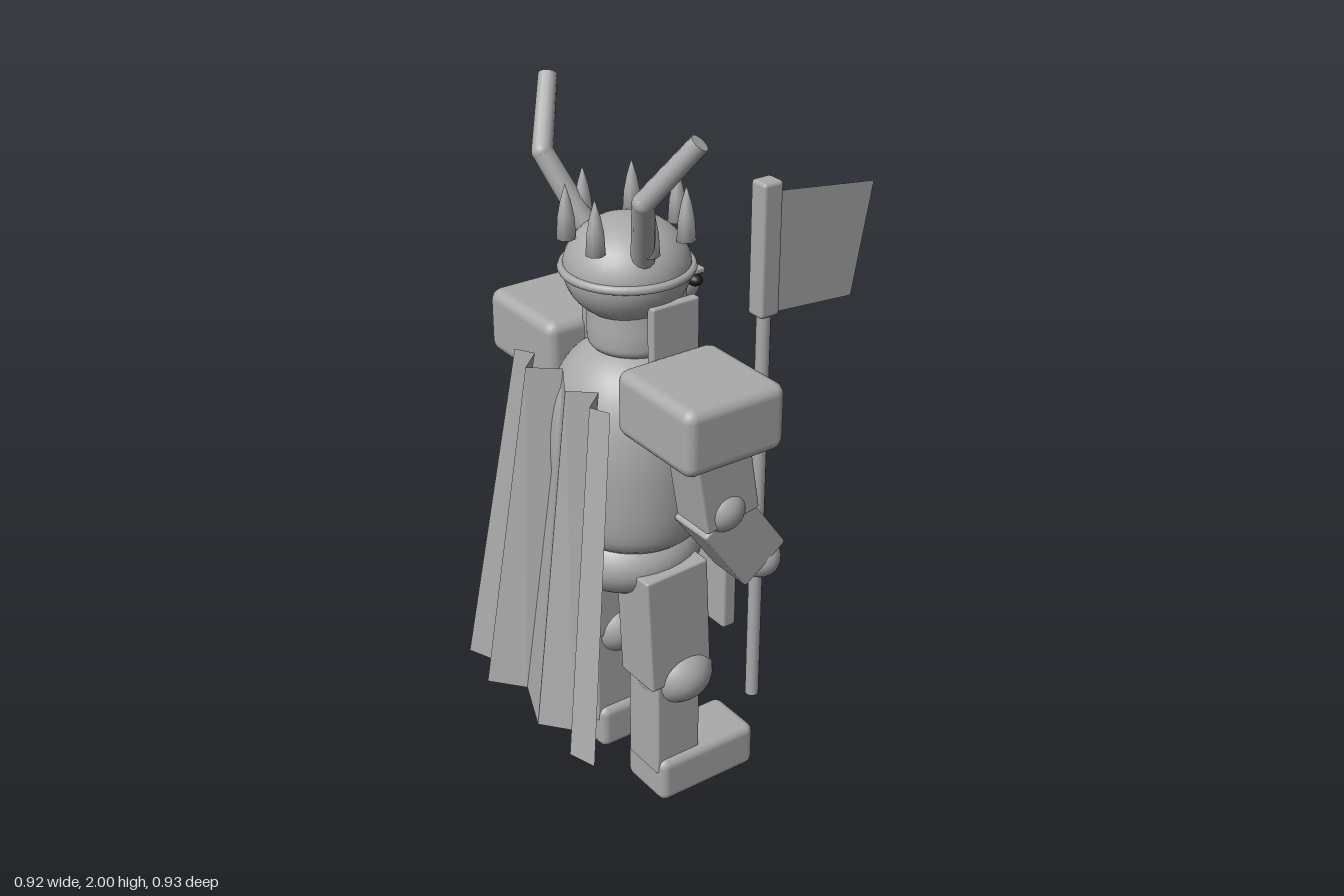
import * as THREE from 'three';
import { RoundedBoxGeometry } from 'three/addons/geometries/RoundedBoxGeometry.js';

const material = (name, color, extra = {}) => {
  const m = new THREE.MeshStandardMaterial({ color, ...extra });
  m.name = name;
  return m;
};

export function createModel() {
  const group = new THREE.Group();
  const grey = material('stone grey', 0xaaaaaa);
  const cloth = material('cloth grey', 0xaaaaaa, { side: THREE.DoubleSide, flatShading: true });
  const dark = material('eye black', 0x1c1c1c);

  const add = (name, geo, pos = [0, 0, 0], mat = grey, tilt = 0) => {
    const mesh = new THREE.Mesh(geo, mat);
    mesh.name = name;
    mesh.position.set(...pos);
    mesh.rotation.z = tilt;
    group.add(mesh);
    return mesh;
  };
  const ball = (name, pos, r, mat) =>
    add(name, new THREE.SphereGeometry(1, 32, 20).scale(...r), pos, mat);
  const block = (name, pos, size, bevel = 0.008, tilt = 0) =>
    add(name, new RoundedBoxGeometry(...size, 2, bevel), pos, grey, tilt);
  const lathe = (pts, n = 40) => {
    const curve = new THREE.SplineCurve(pts.map(p => new THREE.Vector2(...p)));
    return new THREE.LatheGeometry(curve.getPoints(32).map(p => p.set(Math.max(p.x, 0), p.y)), n);
  };

  // Torso and pelvis
  add('torso', lathe([[0, 0.78], [0.12, 0.79], [0.19, 0.83], [0.212, 0.9], [0.218, 1.02], [0.214, 1.12],
    [0.195, 1.22], [0.155, 1.3], [0.09, 1.35], [0, 1.37]]).scale(0.99, 1, 1.07), [-0.085, 0, 0]);
  ball('pelvis', [-0.09, 0.755, 0], [0.205, 0.125, 0.2]);

  // Head
  add('jaw', lathe([[0, 1.33], [0.08, 1.335], [0.118, 1.355], [0.125, 1.39], [0.123, 1.45], [0.12, 1.55]])
    .scale(1.08, 1, 1), [-0.055, 0, 0]);
  ball('helmet', [-0.085, 1.565, 0], [0.166, 0.138, 0.166]);
  add('helmetRim', new THREE.TorusGeometry(0.167, 0.012, 8, 48).rotateX(Math.PI / 2), [-0.085, 1.567, 0]);
  ball('nose', [0.095, 1.483, 0], [0.044, 0.062, 0.04]);

  // Crown of spikes
  const spike = new THREE.LatheGeometry([[0, 0], [0.026, 0], [0.022, 0.06], [0.014, 0.1], [0, 0.145]]
    .map(p => new THREE.Vector2(...p)), 7);
  for (let i = 0; i < 7; i++) {
    const a = i * Math.PI * 2 / 7;
    add('crownSpike', spike, [-0.085 + 0.155 * Math.cos(a), 1.65, 0.152 * Math.sin(a)]);
  }

  // Teeth
  block('mouth', [0.068, 1.392, 0], [0.02, 0.012, 0.17], 0.004);
  for (let i = 0; i < 6; i++) {
    block('tooth', [0.076, 1.408, (i - 2.5) * 0.03], [0.018, 0.034, 0.018], 0.003);
  }

  for (const s of [1, -1]) {
    // Face details
    ball('eye', [0.07, 1.515, s * 0.078], [0.02, 0.017, 0.025], dark);
    block('brow', [0.075, 1.543, s * 0.06], [0.03, 0.014, 0.075], 0.004);
    block('cheekGuard', [-0.048, 1.41, s * 0.15], [0.145, 0.2, 0.028], 0.006);

    // Bent horns
    const pts = [[-0.12, 1.63, 0.12], [-0.19, 1.825, 0.222], [-0.103, 1.985, 0.325]]
      .map(p => new THREE.Vector3(p[0], p[1], p[2] * s));
    for (const [a, b, ra, rb] of [[pts[0], pts[1], 0.031, 0.028], [pts[1], pts[2], 0.028, 0.025]]) {
      const d = b.clone().sub(a);
      const horn = add('horn', new THREE.CylinderGeometry(rb, ra, d.length(), 12),
        a.clone().add(b).multiplyScalar(0.5).toArray());
      horn.quaternion.setFromUnitVectors(new THREE.Vector3(0, 1, 0), d.normalize());
    }
    ball('hornBend', pts[1].toArray(), [0.028, 0.028, 0.028]);

    // Arms
    block('shoulderPad', [-0.078, 1.282, s * 0.307], [0.305, 0.185, 0.315], 0.032);
    block('upperArm', [-0.047, 1.12, s * 0.315], [0.17, 0.3, 0.135], 0.008, 0.17);
    ball('elbow', [-0.035, 1.0, s * 0.34], [0.065, 0.065, 0.065]);
    block('forearm', [0.03, 0.89, s * 0.3], [0.16, 0.24, 0.14], 0.008, 0.62);
    ball('hand', [0.12, 0.785, s * 0.307], [0.058, 0.062, 0.07]);

    // Legs
    block('thigh', [-0.075, 0.58, s * 0.15], [0.2, 0.36, 0.15], 0.008, 0.05);
    ball('knee', [-0.045, 0.395, s * 0.152], [0.108, 0.093, 0.116]);
    block('shin', [-0.073, 0.26, s * 0.15], [0.145, 0.32, 0.14], 0.008);
    block('foot', [0.022, 0.075, s * 0.15], [0.328, 0.14, 0.18], 0.026);
    block('hipPlate', [0.078, 0.655, s * 0.177], [0.045, 0.245, 0.14], 0.01);
  }

  // Tabard and middle skirt plate
  block('tabard', [0.12, 0.955, 0], [0.03, 0.58, 0.185], 0.006);
  block('tabardBand', [0.139, 1.17, 0], [0.022, 0.016, 0.19], 0.004);
  block('middleSkirtPlate', [0.09, 0.62, 0], [0.04, 0.18, 0.14], 0.01);

  // Pleated cape, flaring towards the hem
  const hem = [[-0.425, -0.325], [-0.395, -0.25], [-0.46, -0.165], [-0.385, -0.075],
    [-0.45, 0.085], [-0.385, 0.165], [-0.45, 0.245], [-0.425, 0.325]];
  const pos = [], index = [];
  hem.forEach(([x, z], i) => {
    pos.push(x, 0.33, z, x + 0.132, 1.3, z * 0.69);
    if (i) index.push(2 * i - 2, 2 * i - 1, 2 * i, 2 * i, 2 * i - 1, 2 * i + 1);
  });
  const cape = new THREE.BufferGeometry();
  cape.setAttribute('position', new THREE.Float32BufferAttribute(pos, 3));
  cape.setIndex(index);
  cape.computeVertexNormals();
  add('cape', cape, [0, 0, 0], cloth);

  // Banner
  add('bannerPole', new THREE.CylinderGeometry(0.019, 0.019, 1.2, 12), [0.117, 0.93, 0.305]);
  block('bannerPoleTop', [0.116, 1.667, 0.305], [0.06, 0.355, 0.056], 0.01);
  const flag = new THREE.Shape([[0.135, 1.81], [0.46, 1.768], [0.402, 1.468], [0.1, 1.49]]
    .map(p => new THREE.Vector2(...p)));
  add('flag', new THREE.ShapeGeometry(flag), [0, 0, 0.305], cloth);

  return group;
}
